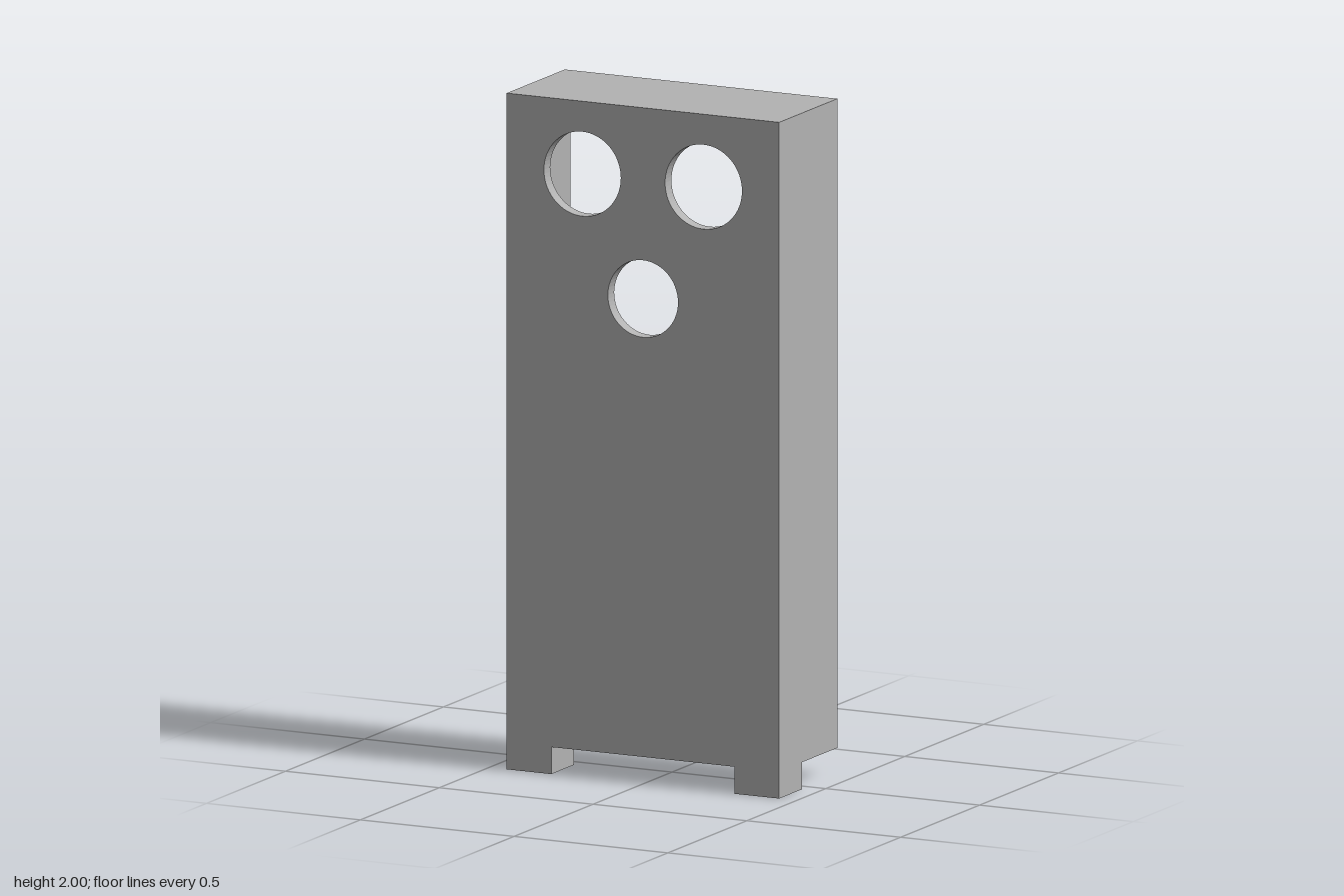
import * as THREE from 'three';

const HALF_W = 0.443, BOTTOM = 0.08, TOP = 2, FRONT = 0.184, BACK = -0.184;
const FRONT_WALL = 0.04, STEP_Z = -0.022, RIM = 0.018, LEDGE = 0.034;

// Adds the outer rectangle, shrunk by an inset, to a shape or path
function rectangle(path, inset) {
  const x = HALF_W - inset, y0 = BOTTOM + inset, y1 = TOP - inset;
  path.moveTo(-x, y0);
  path.lineTo(x, y0);
  path.lineTo(x, y1);
  path.lineTo(-x, y1);
  path.closePath();
  return path;
}

export function createModel() {
  const group = new THREE.Group();
  const grey = new THREE.MeshStandardMaterial({ color: 0xb2b2b2 });
  grey.name = 'grey';

  // Extrudes the outer rectangle with holes between two depths
  function slab(name, holes, z0, z1) {
    const shape = rectangle(new THREE.Shape(), 0);
    shape.holes.push(...holes);
    const geometry = new THREE.ExtrudeGeometry(shape, {
      depth: z1 - z0, bevelEnabled: false, curveSegments: 32,
    });
    geometry.translate(0, 0, z0);
    const mesh = new THREE.Mesh(geometry, grey);
    mesh.name = name;
    group.add(mesh);
  }

  // Front panel with three round openings
  const openings = [[-0.197, 1.785, 0.125], [0.197, 1.785, 0.125], [0, 1.435, 0.114]];
  const holes = openings.map(([x, y, r]) => new THREE.Path().absarc(x, y, r, 0, Math.PI * 2, true));
  slab('frontPanel', holes, FRONT - FRONT_WALL, FRONT);

  // Thicker inner walls, then the thin rim around the open back
  slab('innerWalls', [rectangle(new THREE.Path(), LEDGE)], STEP_Z, FRONT - FRONT_WALL);
  slab('backRim', [rectangle(new THREE.Path(), RIM)], BACK, STEP_Z);

  // Two feet at the front corners
  for (const side of [-1, 1]) {
    const foot = new THREE.Mesh(new THREE.BoxGeometry(0.145, BOTTOM, 0.144), grey);
    foot.name = side > 0 ? 'leftFoot' : 'rightFoot';
    foot.position.set(side * (HALF_W - 0.0725), BOTTOM / 2, FRONT - 0.072);
    group.add(foot);
  }
  return group;
}
